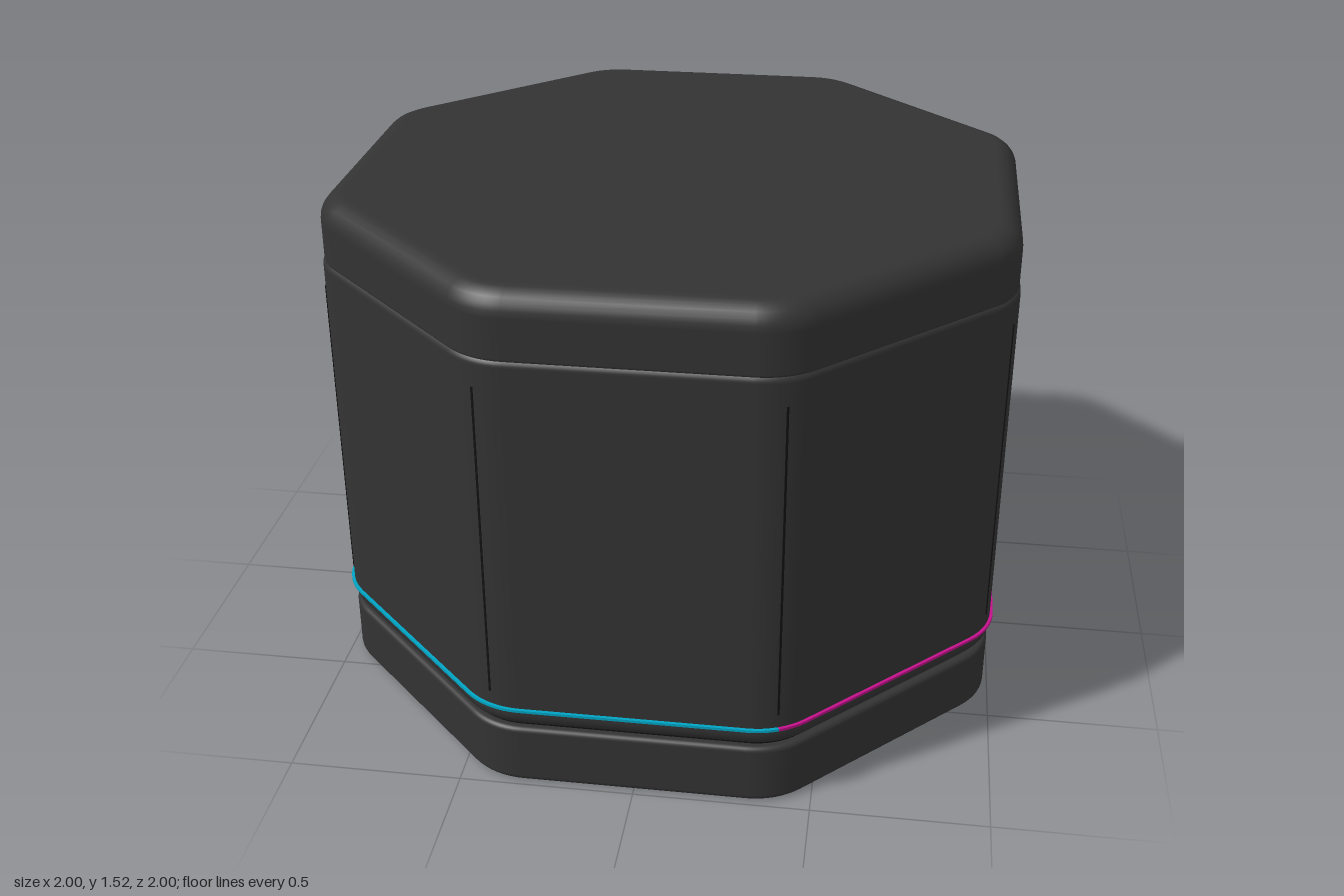
import * as THREE from 'three';

const APOTHEM = 0.99, CORNER = 0.22, SEGS = 8;
const PER = SEGS + 1, COUNT = 8 * PER;

const mat = (name, color) => Object.assign(new THREE.MeshStandardMaterial({ color }), { name });

// Outline point i of the rounded octagon, shrunk evenly by inset
function outline(i, inset) {
  const k = Math.floor((i % COUNT) / PER), s = (i % COUNT) % PER;
  const mid = (k + 0.5) * Math.PI / 4;
  const t = (k + s / SEGS) * Math.PI / 4;
  const c = (APOTHEM - CORNER) / Math.cos(Math.PI / 8), r = CORNER - inset;
  return { x: Math.sin(mid) * c + Math.sin(t) * r, z: Math.cos(mid) * c + Math.cos(t) * r, t };
}

// Sweep a profile of [inset, y, normal tilt, scale] around the outline
function loft(profile, from = 0, to = COUNT) {
  const pos = [], nor = [], idx = [], n = to - from + 1;
  for (const [inset, y, tilt, scale = 1] of profile) {
    for (let i = from; i <= to; i++) {
      const p = outline(i, inset), c = Math.cos(tilt);
      pos.push(p.x * scale, y, p.z * scale);
      nor.push(Math.sin(p.t) * c, Math.sin(tilt), Math.cos(p.t) * c);
    }
  }
  for (let j = 0; j < profile.length - 1; j++) {
    for (let i = 0; i < n - 1; i++) {
      const a = j * n + i, b = a + 1, d = a + n, e = d + 1;
      idx.push(a, b, e, a, e, d);
    }
  }
  const g = new THREE.BufferGeometry();
  g.setAttribute('position', new THREE.Float32BufferAttribute(pos, 3));
  g.setAttribute('normal', new THREE.Float32BufferAttribute(nor, 3));
  g.setIndex(idx);
  return g;
}

// Closed slab profile with rounded lower and upper edges
function slab(y0, y1, inset, rLow, rHigh) {
  const h = Math.PI / 2, steps = 6, pts = [[inset + rLow, y0, -h, 0]];
  for (let s = 0; s <= steps; s++) {
    const a = -h + h * s / steps;
    pts.push([inset + rLow * (1 - Math.cos(a)), y0 + rLow * (1 + Math.sin(a)), a]);
  }
  for (let s = 0; s <= steps; s++) {
    const a = h * s / steps;
    pts.push([inset + rHigh * (1 - Math.cos(a)), y1 - rHigh * (1 - Math.sin(a)), a]);
  }
  pts.push([inset + rHigh, y1, h, 0]);
  return pts;
}

export function createModel() {
  const model = new THREE.Group();
  model.name = 'octagonalCase';
  const shell = mat('charcoal', 0x333333);
  const dark = mat('grooveBlack', 0x111111);
  const cyan = mat('cyanLight', 0x00a5c4);
  const magenta = mat('magentaLight', 0xc4108c);

  const add = (name, geometry, material) => {
    const m = new THREE.Mesh(geometry, material);
    m.name = name;
    model.add(m);
    return m;
  };

  // Stacked housing
  add('base', loft(slab(0, 0.184, 0.004, 0.02, 0.015)), shell);
  add('body', loft(slab(0.186, 1.335, 0, 0.05, 0.02)), shell);
  add('lid', loft(slab(1.325, 1.52, 0.005, 0.012, 0.07)), shell);

  // Dark joint between base and body
  add('baseJoint', loft(slab(0.17, 0.21, 0.03, 0.005, 0.005)), dark);

  // Light strip, half in each colour, meeting at opposite corners
  const h = Math.PI / 2, y0 = 0.25, y1 = 0.258, out = -0.009;
  const strip = [[0.01, y0, -h], [out, y0, -h], [out, y0, 0], [out, y1, 0], [out, y1, h], [0.01, y1, h]];
  const start = SEGS / 2, half = COUNT / 2;
  add('magentaStrip', loft(strip, start, start + half), magenta);
  add('cyanStrip', loft(strip, start + half, start + COUNT), cyan);

  // Thin vertical groove on every corner
  const groove = new THREE.BoxGeometry(0.006, 0.95, 0.006);
  for (let k = 0; k < 8; k++) {
    const p = outline(k * PER + SEGS / 2, 0.001);
    const m = add('cornerGroove', groove, dark);
    m.position.set(p.x, 0.775, p.z);
    m.rotation.y = p.t;
  }
  return model;
}
